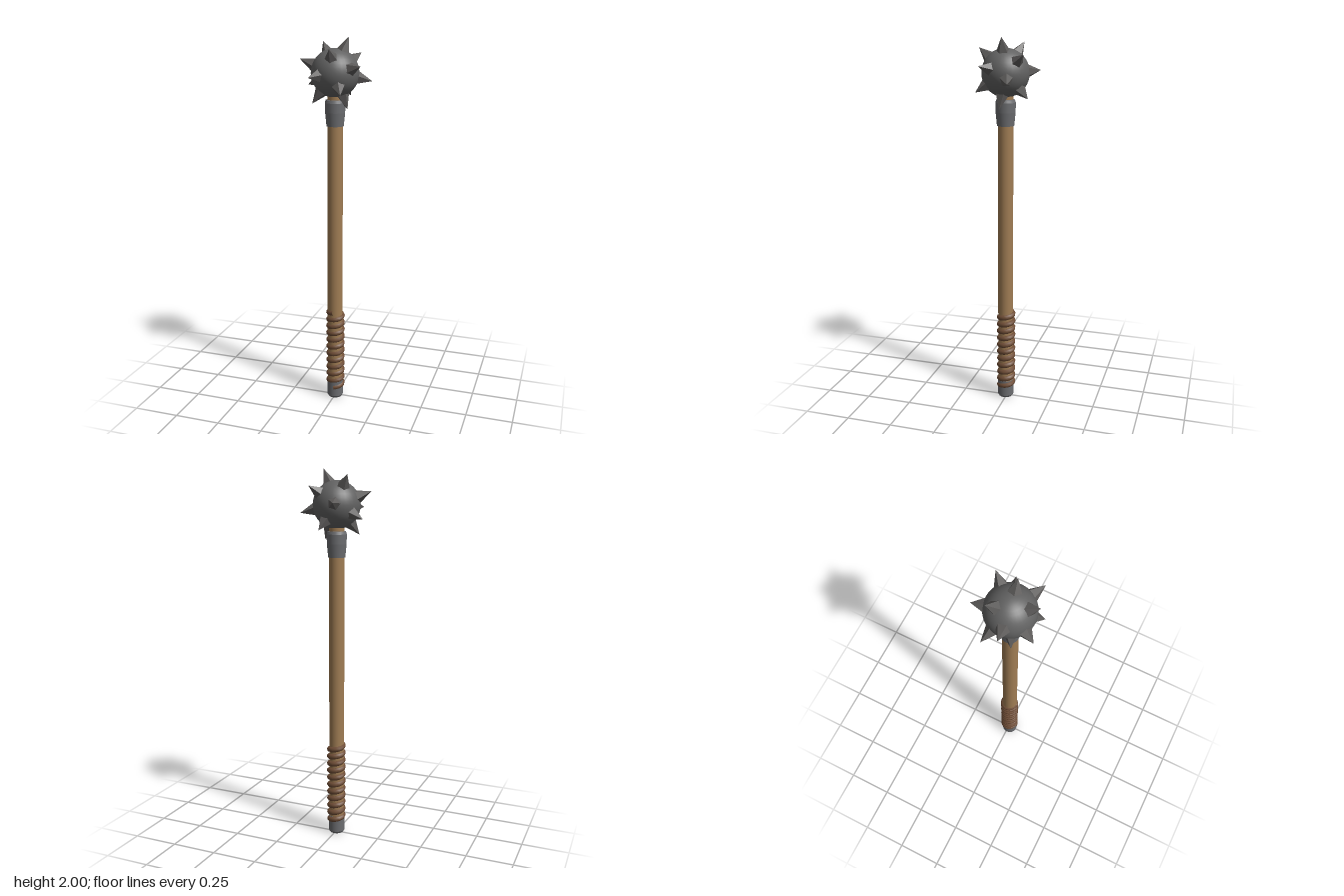
import * as THREE from 'three';

const mat = (color, extra = {}) => new THREE.MeshStandardMaterial({ color, ...extra });

export function createModel() {
  const model = new THREE.Group();
  const wood = mat(0xa07d54);
  const leather = mat(0x6f4d36);
  const iron = mat(0x626262);
  const steel = mat(0x6c6d70);
  const spikeIron = mat(0x5e5c5b, { flatShading: true });

  const weapon = new THREE.Group();
  weapon.name = 'mace';
  weapon.position.z = 0.007;
  model.add(weapon);

  const add = (name, geometry, material, parent = weapon) => {
    const mesh = new THREE.Mesh(geometry, material);
    mesh.name = name;
    parent.add(mesh);
    return mesh;
  };
  // Turned part; doubled points keep the edges crisp
  const turned = (points) => new THREE.LatheGeometry(
    points.flatMap(([r, y]) => [new THREE.Vector2(r, y), new THREE.Vector2(r, y)]), 24);

  // Wooden shaft, running up into the head
  const shaft = add('shaft', new THREE.CylinderGeometry(0.04, 0.042, 1.67, 20), wood);
  shaft.position.y = 0.885;

  // Metal cap at the foot and collar below the head
  add('pommel', turned([[0, 0], [0.038, 0], [0.045, 0.012], [0.045, 0.1], [0.04, 0.1]]), steel);
  add('collar', turned([[0.038, 1.55], [0.045, 1.55], [0.052, 1.62], [0.053, 1.67], [0.048, 1.685], [0, 1.69]]), steel);

  // Leather cord wound round the grip
  const turns = 11, perTurn = 16;
  const cord = [];
  for (let i = 0; i <= turns * perTurn; i++) {
    const t = i / (turns * perTurn);
    const a = t * turns * Math.PI * 2;
    cord.push(new THREE.Vector3(0.037 * Math.sin(a), 0.065 + 0.455 * t, 0.037 * Math.cos(a)));
  }
  const grip = add('gripCord',
    new THREE.TubeGeometry(new THREE.CatmullRomCurve3(cord), turns * perTurn, 0.0155, 8), leather);
  grip.position.set(0.001, 0, -0.003);

  // Spiked head
  const head = new THREE.Group();
  head.name = 'head';
  head.position.y = 1.82;
  weapon.add(head);
  add('ball', new THREE.SphereGeometry(0.124, 32, 20), iron, head);

  // Five-sided spikes spread evenly by the golden angle
  const count = 14, golden = Math.PI * (3 - Math.sqrt(5));
  const up = new THREE.Vector3(0, 1, 0);
  for (let i = 0; i < count; i++) {
    const y = 1 - (2 * i + 1) / count;
    const r = Math.sqrt(1 - y * y);
    const a = -golden * i;
    const tip = new THREE.Vector3(0.196 * r * Math.cos(a), 0.194 * y, 0.179 * r * Math.sin(a));
    const length = tip.length() - 0.105;
    const dir = tip.clone().normalize();
    const spike = add('spike', new THREE.ConeGeometry(0.041, length, 5), spikeIron, head);
    spike.quaternion.setFromUnitVectors(up, dir);
    spike.position.copy(dir).multiplyScalar(0.105 + length / 2);
  }
  return model;
}
